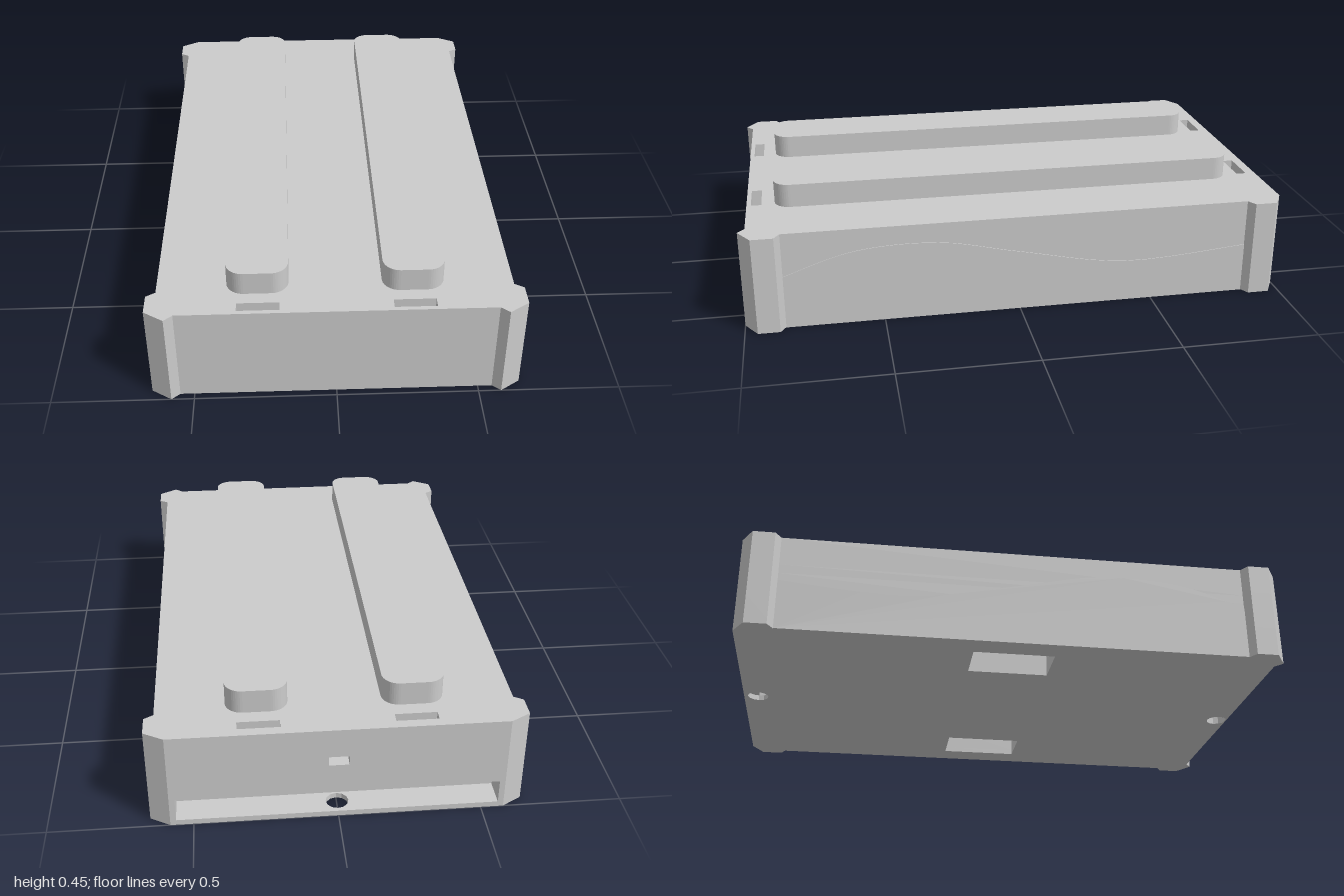
import * as THREE from 'three';

const material = new THREE.MeshStandardMaterial({ color: 0xcccccc, flatShading: true, side: THREE.DoubleSide });

// Shapes are drawn in plan as (x, -z) and extruded upwards
function slab(name, shape, y0, y1) {
  const geometry = new THREE.ExtrudeGeometry(shape, { depth: y1 - y0, bevelEnabled: false, curveSegments: 6 });
  geometry.rotateX(-Math.PI / 2);
  const mesh = new THREE.Mesh(geometry, material);
  mesh.name = name;
  mesh.position.y = y0;
  return mesh;
}

// Plan outline with flared corner posts and an optional notch cut into the back edge
function outline(notchHalf = 0, notchDepth = 0) {
  const half = [
    [0.55, 0.975], [0.58, 1], [0.65, 0.955], [0.65, 0.875], [0.617, 0.855],
    [0.617, -0.86], [0.65, -0.88], [0.65, -0.96], [0.58, -1],
  ];
  if (notchHalf) half.push([notchHalf, -1], [notchHalf, -1 + notchDepth]);
  const mirrored = half.map(([x, z]) => [-x, z]).reverse();
  return new THREE.Shape([...half, ...mirrored].map(([x, z]) => new THREE.Vector2(x, -z)));
}

function rectHole(shape, x, z, w, d) {
  shape.holes.push(new THREE.Path([[-1, -1], [1, -1], [1, 1], [-1, 1]].map(
    ([sx, sz]) => new THREE.Vector2(x + sx * w / 2, -z + sz * d / 2))));
}

function roundHole(shape, x, z, r) {
  shape.holes.push(new THREE.Path().absarc(x, -z, r, 0, Math.PI * 2));
}

function roundedRect(x, z, w, d, r) {
  const s = new THREE.Shape(), l = x - w / 2, b = -z - d / 2;
  s.absarc(l + w - r, b + r, r, -Math.PI / 2, 0);
  s.absarc(l + w - r, b + d - r, r, 0, Math.PI / 2);
  s.absarc(l + r, b + d - r, r, Math.PI / 2, Math.PI);
  s.absarc(l + r, b + r, r, Math.PI, Math.PI * 1.5);
  s.closePath();
  return s;
}

export function createModel() {
  const group = new THREE.Group();

  // Casing, stacked in layers so that each opening stops at its own height
  const layers = [
    { name: 'basePlate', y: [0, 0.02], wells: true, screws: [-0.945, 0.935] },
    { name: 'slotLayer', y: [0.02, 0.11], notch: [0.56, 0.1], wells: true, screws: [0.935], vents: [] },
    { name: 'lowerCasing', y: [0.11, 0.22], wells: true, vents: [-0.945, 0.94] },
    { name: 'portLayer', y: [0.22, 0.255], notch: [0.035, 0.1], vents: [-0.945, 0.94] },
    { name: 'upperCasing', y: [0.255, 0.365], vents: [-0.945, 0.94] },
  ];
  for (const { name, y, notch = [], wells, screws = [], vents = [] } of layers) {
    const shape = outline(...notch);
    for (const side of [-1, 1]) {
      if (wells) rectHole(shape, side * 0.44, 0, 0.17, 0.3);
      for (const z of vents) rectHole(shape, side * 0.267, z, 0.146, 0.038);
    }
    for (const z of screws) roundHole(shape, 0, z, 0.04);
    group.add(slab(name, shape, y[0], y[1]));
  }

  // Two long raised runners on the lid
  for (const side of [-1, 1]) {
    const name = side > 0 ? 'leftRunner' : 'rightRunner';
    group.add(slab(name, roundedRect(side * 0.269, 0, 0.215, 1.745, 0.06), 0.365, 0.452));
  }

  // Barely proud lower side panels with a wavy upper edge
  const wave = new THREE.SplineCurve([
    [0.855, 0.2], [0.6, 0.28], [0.3, 0.29], [0, 0.23], [-0.4, 0.16], [-0.86, 0.19],
  ].map(([z, y]) => new THREE.Vector2(-z, y)));
  const panel = new THREE.Shape([
    new THREE.Vector2(-0.855, 0), ...wave.getPoints(30), new THREE.Vector2(0.86, 0),
  ]);
  for (const side of [-1, 1]) {
    const geometry = new THREE.ExtrudeGeometry(panel, { depth: 0.003, bevelEnabled: false });
    geometry.rotateY(Math.PI / 2);
    const mesh = new THREE.Mesh(geometry, material);
    mesh.name = side > 0 ? 'leftWavePanel' : 'rightWavePanel';
    mesh.position.x = side > 0 ? 0.617 : -0.62;
    group.add(mesh);
  }
  return group;
}
